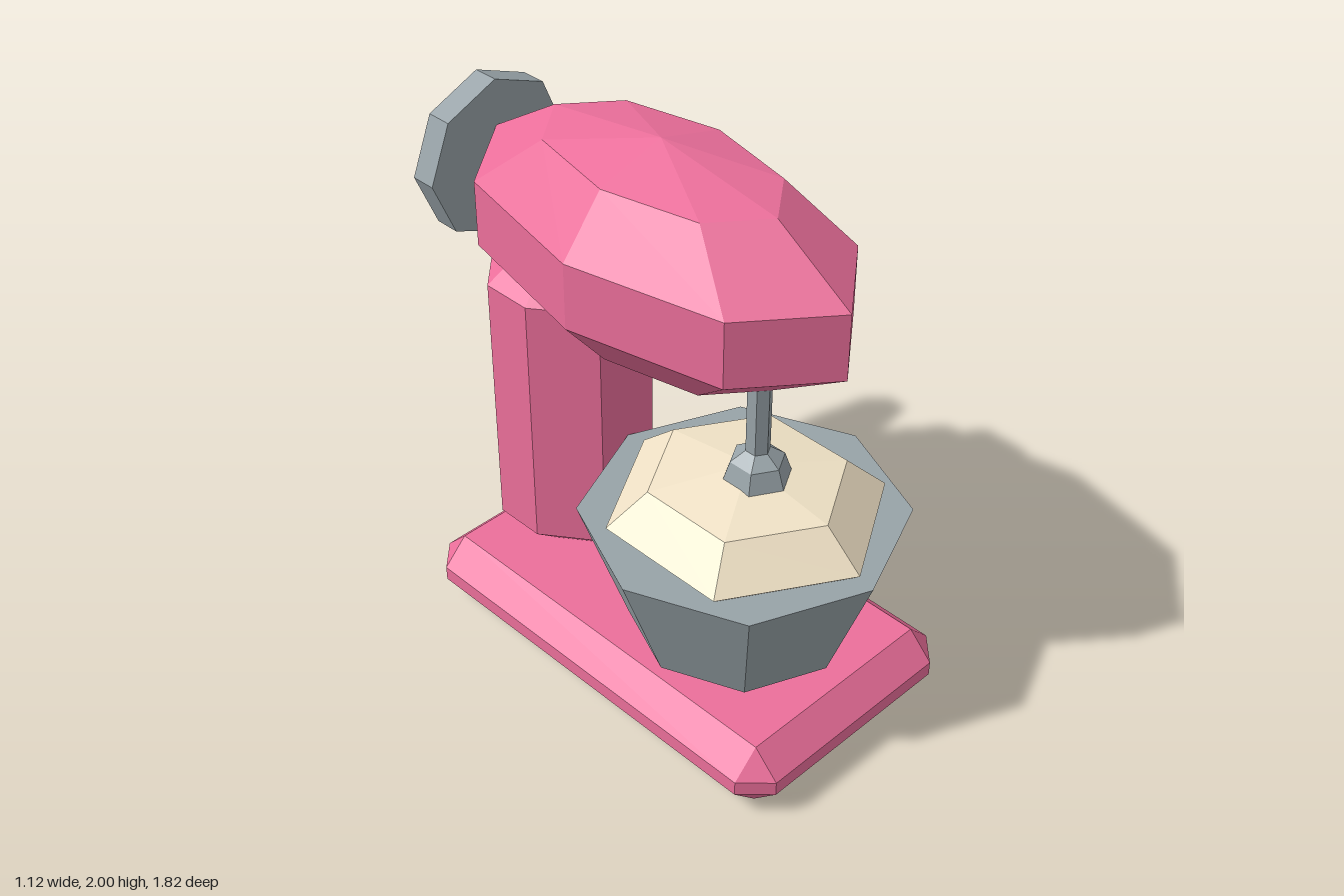
import * as THREE from 'three';
import { ConvexGeometry } from 'three/addons/geometries/ConvexGeometry.js';

const paint = (color) => new THREE.MeshStandardMaterial({ color, flatShading: true });
const pink = paint(0xec6f9b);
const steel = paint(0x98a3a8);
const cream = paint(0xf0e2c6);
const dark = paint(0x323938);

// Box with every edge and corner cut by b
function chamferedBox(w, h, d, b) {
  const points = [];
  for (const x of [-w / 2, w / 2]) for (const y of [-h / 2, h / 2]) for (const z of [-d / 2, d / 2]) {
    const ix = x - Math.sign(x) * b, iy = y - Math.sign(y) * b, iz = z - Math.sign(z) * b;
    points.push(new THREE.Vector3(x, iy, iz), new THREE.Vector3(ix, y, iz), new THREE.Vector3(ix, iy, z));
  }
  return new ConvexGeometry(points);
}

// Faceted turned part; profile is [radius, y] from bottom to top
function turned(profile, sides) {
  return new THREE.LatheGeometry(profile.map(([r, y]) => new THREE.Vector2(r, y)), sides);
}

export function createModel() {
  const model = new THREE.Group();
  const add = (name, geometry, material, x = 0, y = 0, z = 0, parent = model) => {
    const mesh = new THREE.Mesh(geometry, material);
    mesh.name = name;
    mesh.position.set(x, y, z);
    parent.add(mesh);
    return mesh;
  };

  // Base slab
  add('base', chamferedBox(0.97, 0.245, 1.65, 0.095), pink, 0, 0.1225, 0.06);

  // Eight-sided column, tapered at both ends
  const section = [[0.12, 0.267], [0.265, 0.067], [0.265, -0.123], [0.12, -0.267]];
  const columnPoints = [];
  for (const [y, s] of [[0.245, 0.6], [0.34, 1], [1.32, 1], [1.425, 0.6]])
    for (const [x, z] of section)
      for (const side of [-1, 1]) columnPoints.push(new THREE.Vector3(side * x * s, y, z * s));
  add('column', new ConvexGeometry(columnPoints), pink, 0, 0, -0.473);

  // Motor head
  add('head', new THREE.SphereGeometry(1, 8, 5).scale(0.436, 0.3875, 0.828), pink, 0, 1.6125, -0.037);

  // Rear disc
  add('rearDisc', new THREE.CylinderGeometry(0.2925, 0.2925, 0.095, 8).rotateX(Math.PI / 2), steel, 0, 1.6125, -0.866);

  // Speed switch: chamfered body with dark panels on its flat faces
  const speedSwitch = new THREE.Group();
  speedSwitch.name = 'speedSwitch';
  speedSwitch.position.set(0.435, 1.568, -0.326);
  model.add(speedSwitch);
  const size = [0.1, 0.132, 0.24], bevel = 0.021;
  add('switchBody', chamferedBox(...size, bevel), pink, 0, 0, 0, speedSwitch);
  for (let axis = 0; axis < 3; axis++) {
    const panel = size.map((s, i) => (i === axis ? s + 0.002 : s - 2 * bevel));
    add('switchPanel', new THREE.BoxGeometry(...panel), dark, 0, 0, 0, speedSwitch);
  }

  // Bowl and its filling
  add('bowl', turned([[0, 0.243], [0.25, 0.243], [0.39, 0.297], [0.558, 0.758], [0, 0.758]], 8), steel, 0, 0, 0.353);
  add('batter', new THREE.SphereGeometry(1, 6, 4).rotateY(Math.PI / 2).scale(0.475, 0.177, 0.49), cream, 0, 0.78, 0.365);

  // Beater shaft and hub
  add('beaterShaft', new THREE.CylinderGeometry(0.042, 0.042, 0.5, 6), steel, 0, 1.2, 0.403);
  add('beaterHub', turned([[0, 0.93], [0.118, 0.93], [0.093, 1.005], [0.042, 1.042], [0, 1.042]], 6), steel, 0, 0, 0.403);

  return model;
}
